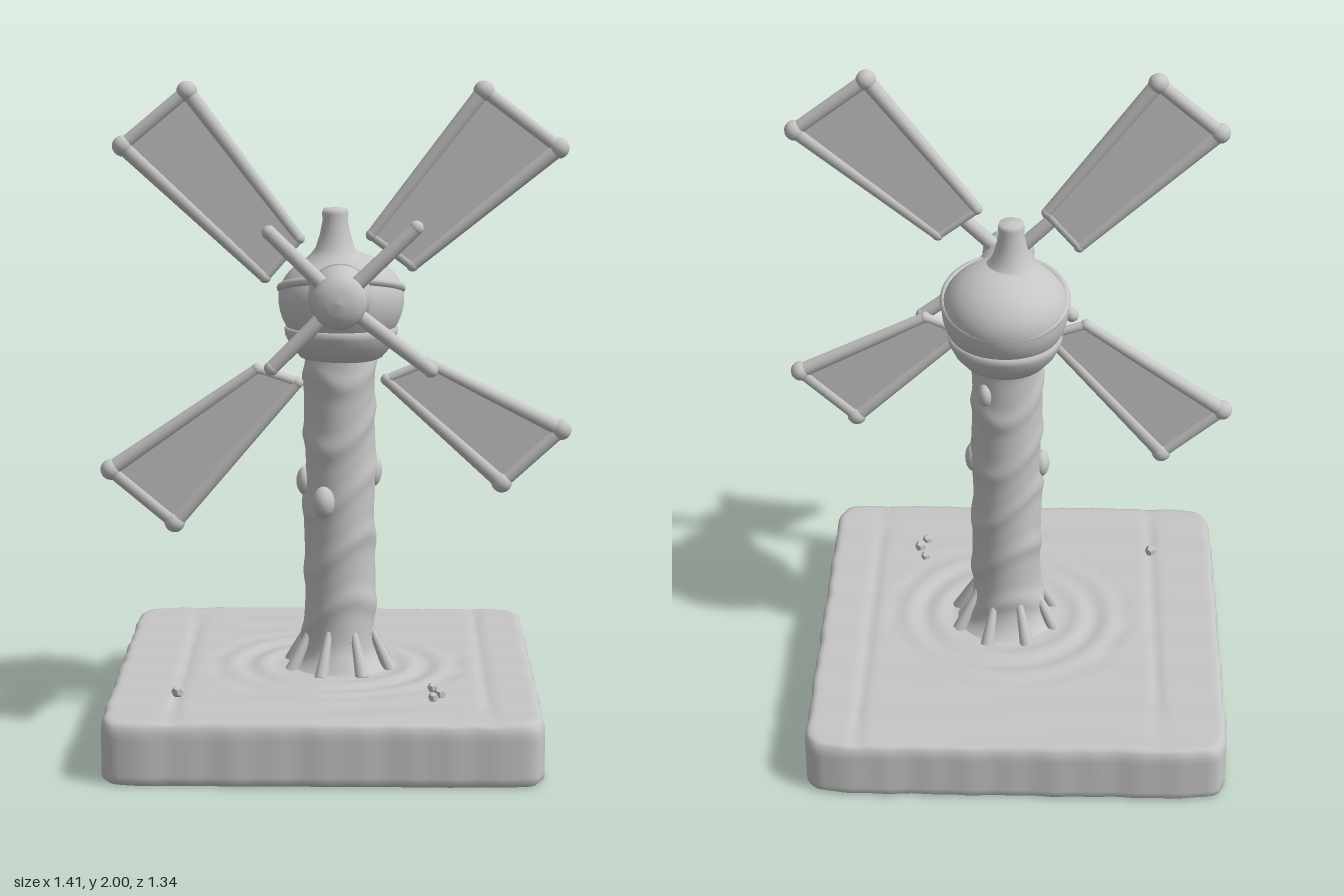
import * as THREE from 'three';
import { mergeVertices } from 'three/addons/utils/BufferGeometryUtils.js';

const V = (x, y, z) => new THREE.Vector3(x, y, z);

export function createModel() {
  const model = new THREE.Group();
  model.name = 'windmill';
  const clay = new THREE.MeshStandardMaterial({ color: 0xc6c6c6 });
  clay.name = 'grey clay';
  const shellClay = clay;
  shellClay.side = THREE.DoubleSide;

  const add = (name, geometry, parent = model, x = 0, y = 0, z = 0) => {
    const mesh = new THREE.Mesh(geometry, clay);
    mesh.name = name;
    mesh.position.set(x, y, z);
    parent.add(mesh);
    return mesh;
  };
  // tapered rod between two points
  const rod = (name, a, b, r1, r2, parent) => {
    const dir = b.clone().sub(a);
    const mesh = add(name, new THREE.CylinderGeometry(r2, r1, dir.length(), 14), parent);
    mesh.position.copy(a).add(b).multiplyScalar(0.5);
    mesh.quaternion.setFromUnitVectors(V(0, 1, 0), dir.normalize());
    return mesh;
  };
  const ball = (name, p, r, parent) => add(name, new THREE.SphereGeometry(r, 16, 12), parent, p.x, p.y, p.z);
  const lathe = (pts, seg = 48) => new THREE.LatheGeometry(pts.map(p => new THREE.Vector2(...p)), seg);
  // move vertices by a rule and smooth the result
  const warp = (geometry, rule) => {
    geometry.deleteAttribute('uv');
    geometry.deleteAttribute('normal');
    const g = mergeVertices(geometry, 1e-4);
    const pos = g.attributes.position, v = V(0, 0, 0);
    for (let i = 0; i < pos.count; i++) {
      rule(v.fromBufferAttribute(pos, i));
      pos.setXYZ(i, v.x, v.y, v.z);
    }
    g.computeVertexNormals();
    return g;
  };

  // base: hollow plank slab, open below, with broken gaps in its right wall
  const side = 48, n = side * 4, cx = -0.035, hx = 0.645, hz = 0.668;
  const rings = [];
  for (let i = 0; i <= 44; i++) rings.push([0.965 * i / 44, 0.187]);
  rings.push([0.983, 0.184], [0.994, 0.174], [1, 0.155]);
  for (let i = 1; i <= 8; i++) rings.push([1, 0.155 - 0.145 * i / 8]);
  rings.push([0.985, 0.005]);
  const groove = (v, at, w) => Math.exp(-(((v - at) / w) ** 2));
  const verts = [], faces = [];
  for (const [t, h] of rings) {
    for (let j = 0; j < n; j++) {
      const s = Math.floor(j / side), f = 2 * (j % side) / side - 1;
      let [u, w] = [[1, f], [-f, 1], [-1, -f], [f, -1]][s];
      const round = (Math.abs(u) ** 18 + Math.abs(w) ** 18) ** (-1 / 18);
      const edge = t > 0.9 ? 0.005 * Math.sin(f * 23 + s * 2) * Math.sin(f * 9 + s) : 0;
      u *= round * t * (1 + edge);
      w *= round * t * (1 + edge);
      const x = cx + u * hx, z = w * hz, r = Math.hypot(x, z - 0.03);
      let y = h;
      if (t < 0.99) {
        if (h > 0.1) {
          y += 0.005 * Math.sin(r * 62) * groove(r, 0.27, 0.11);
          y -= 0.006 * (groove(x, -0.47, 0.015) + groove(x, 0.45, 0.015));
          y += 0.002 * Math.sin(z * 34 + Math.sin(x * 6)) * (r > 0.38 ? 1 : 0);
        } else y = 0;
      }
      verts.push(x, y, z);
    }
  }
  for (let i = 0; i < rings.length - 1; i++) {
    for (let j = 0; j < n; j++) {
      const a = i * n + j, b = i * n + (j + 1) % n;
      const z = verts[a * 3 + 2], low = rings[i][1];
      const onRight = j < side && rings[i][0] > 0.98 && i > 45;
      const gap = onRight && ((z > -0.01 && z < 0.08 && low < 0.15) || (z > -0.6 && z < -0.42 && low < 0.08));
      if (!gap) faces.push(a, b, a + n, b, b + n, a + n);
    }
  }
  const baseGeo = new THREE.BufferGeometry();
  baseGeo.setAttribute('position', new THREE.Float32BufferAttribute(verts, 3));
  baseGeo.setIndex(faces);
  baseGeo.computeVertexNormals();
  add('base', baseGeo);

  // loose chips lying on the base
  for (const [x, z, r] of [[0.29, 0.33, 0.016], [0.31, 0.39, 0.02], [0.29, 0.43, 0.016], [-0.47, 0.38, 0.02]])
    add('chip', new THREE.DodecahedronGeometry(r), model, x, 0.2, z);

  // tower: gnarled trunk with spiral folds
  const profile = [];
  for (let i = 0; i <= 80; i++) {
    const y = 0.18 + 0.99 * i / 80;
    profile.push([0.11 + 0.05 * Math.exp(-(y - 0.18) / 0.04), y]);
  }
  const trunk = warp(lathe(profile), v => {
    const a = Math.atan2(v.z, v.x);
    const fold = 0.5 + 0.5 * Math.sin(v.y * 34 + a + 1.3 * Math.sin(a * 2 + v.y * 5));
    const k = 1 + 0.07 * fold ** 4 + 0.025 * Math.sin(a * 3 + v.y * 17) - 0.02;
    v.x *= k;
    v.z *= k;
  });
  add('tower', trunk, model, 0.008, 0, 0.02);

  // roots gripping the base
  for (let i = 0; i < 8; i++) {
    const a = i * Math.PI / 4 + 0.35, c = Math.cos(a), s = Math.sin(a);
    rod('root', V(0.01 + 0.165 * c, 0.18, 0.02 + 0.165 * s), V(0.01 + 0.1 * c, 0.31, 0.02 + 0.1 * s), 0.022, 0.01);
  }
  // knots on the trunk
  for (const [x, y, z, r] of [[0.11, 0.8, 0.015, 0.045], [-0.1, 0.77, 0.03, 0.04], [-0.04, 0.72, 0.12, 0.045], [0.07, 1.07, -0.06, 0.035]])
    ball('knot', V(x, y, z), r).scale.set(0.6 + 0.4 * Math.abs(z) * 4, 1.1, 0.9);

  // round cap with a lower bowl, ridges and a chimney
  const cap = new THREE.Group();
  cap.name = 'cap';
  cap.position.set(0.012, 0, 0.01);
  model.add(cap);
  add('bowl', lathe([[0, 1.14], [0.09, 1.14], [0.125, 1.155], [0.155, 1.19], [0.172, 1.225], [0.174, 1.243], [0.165, 1.25], [0, 1.25]]), cap);
  const dome = [];
  for (let i = 0; i <= 20; i++) {
    const a = -0.55 + i * (Math.PI / 2 + 0.55) / 20;
    dome.push([Math.max(0, 0.192 * Math.cos(a)), 1.335 + (a > 0 ? 0.145 : 0.175) * Math.sin(a)]);
  }
  add('dome', lathe(dome), cap);
  const ridge = add('ridge', new THREE.TorusGeometry(0.184, 0.013, 10, 56), cap, 0, 1.365, 0);
  ridge.rotation.x = Math.PI / 2 - 0.25;
  add('chimney', lathe([[0.1, 1.45], [0.078, 1.468], [0.06, 1.49], [0.047, 1.53], [0.038, 1.575], [0.04, 1.595], [0.036, 1.61], [0, 1.612]], 32), cap, -0.018, 0, 0.02);

  // hub pointing to the front
  const hub = add('hub', lathe([[0, 0.13], [0.095, 0.15], [0.095, 0.2], [0.078, 0.225], [0.07, 0.25], [0.068, 0.29], [0.08, 0.305], [0.081, 0.325], [0.07, 0.347], [0.045, 0.355], [0.035, 0.36], [0, 0.365]], 36), model, 0.01, 1.36, 0);
  hub.rotation.x = Math.PI / 2;

  // sails: framed panels, corners given as outer pair then inner pair, plus tip of the front arm
  const sails = [
    { q: [[0.43, 1.97], [0.65, 1.805], [0.225, 1.46], [0.105, 1.55]], tip: [0.235, 1.575] },
    { q: [[-0.625, 1.81], [-0.435, 1.968], [-0.11, 1.54], [-0.21, 1.425]], tip: [-0.195, 1.56] },
    { q: [[-0.485, 0.685], [-0.675, 0.845], [-0.235, 1.15], [-0.115, 1.11]], tip: [-0.19, 1.16] },
    { q: [[0.67, 0.97], [0.495, 0.81], [0.15, 1.12], [0.27, 1.17]], tip: [0.28, 1.155] },
  ];
  for (const { q, tip } of sails) {
    const sail = new THREE.Group();
    sail.name = 'sail';
    model.add(sail);
    const z = 0.24, p = q.map(([x, y]) => V(x, y, z));
    const shape = new THREE.Shape(q.map(c => new THREE.Vector2(...c)));
    const panel = new THREE.ExtrudeGeometry(shape, { depth: 0.024, bevelEnabled: false });
    add('sailPanel', panel, sail, 0, 0, z - 0.012);
    rod('tipRail', p[0], p[1], 0.021, 0.021, sail);
    rod('sideRail', p[1], p[2], 0.024, 0.017, sail);
    rod('innerRail', p[2], p[3], 0.015, 0.015, sail);
    rod('sideRail', p[3], p[0], 0.017, 0.024, sail);
    p.forEach((c, i) => ball('railEnd', c, i < 2 ? 0.031 : 0.018, sail));
    const end = V(tip[0], tip[1], 0.285);
    rod('arm', V(0.01, 1.36, 0.285), end, 0.023, 0.021, sail);
    ball('armEnd', end, 0.022, sail);
  }
  return model;
}
